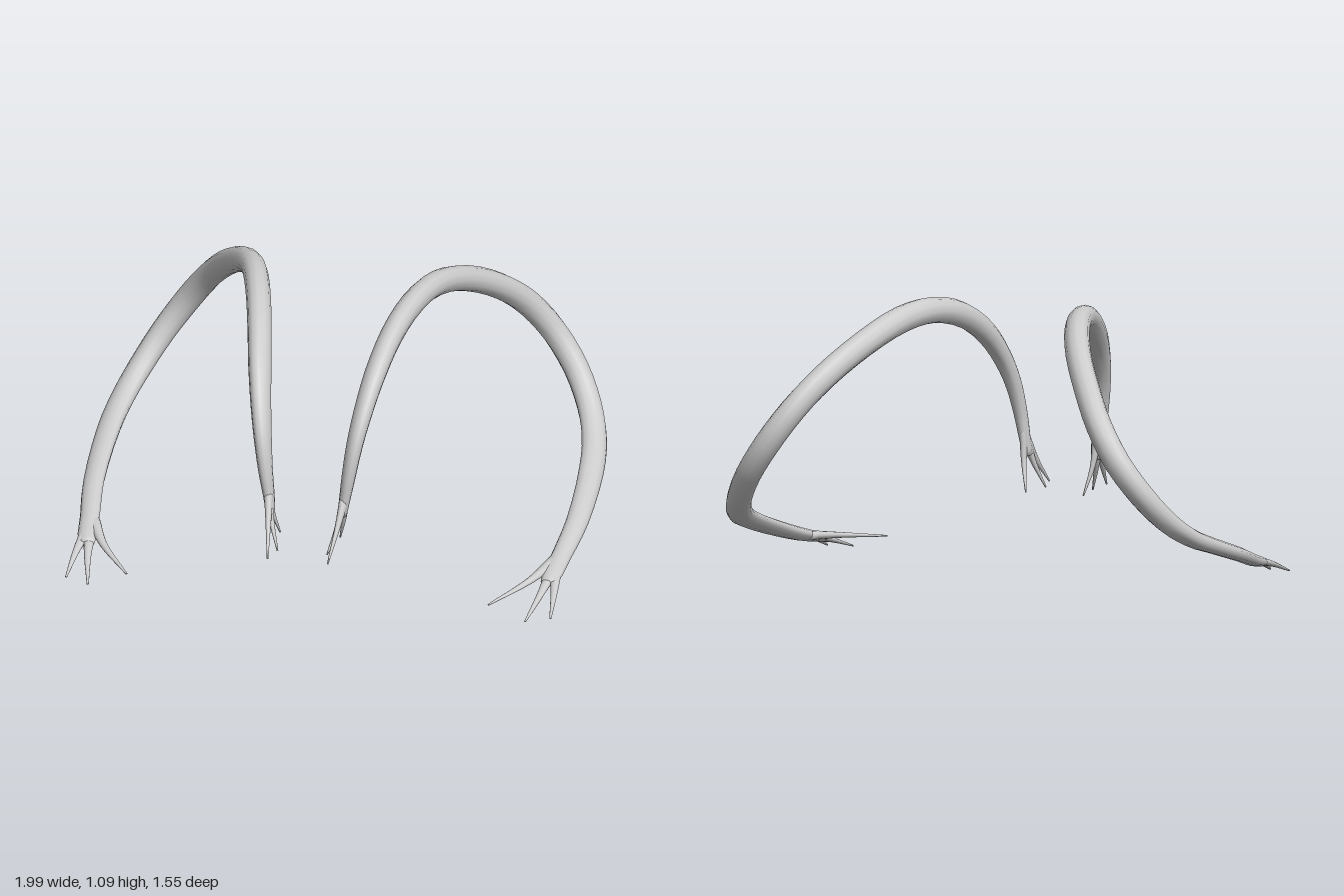
import * as THREE from 'three';

const SIDES = 12;

// Limb centre line from the raised wrist to the low wrist: x, y, z, wide radius, thin radius
const LIMB = [
  [0.14, 0.40, 0.60, 0.028, 0.018],
  [0.15, 0.47, 0.59, 0.032, 0.022],
  [0.163, 0.56, 0.582, 0.036, 0.027],
  [0.18, 0.68, 0.55, 0.046, 0.032],
  [0.20, 0.79, 0.485, 0.050, 0.037],
  [0.225, 0.90, 0.375, 0.053, 0.042],
  [0.26, 0.995, 0.20, 0.053, 0.045],
  [0.305, 1.04, 0.0, 0.052, 0.047],
  [0.36, 1.03, -0.20, 0.052, 0.048],
  [0.44, 0.96, -0.40, 0.051, 0.049],
  [0.54, 0.85, -0.57, 0.051, 0.050],
  [0.63, 0.73, -0.68, 0.051, 0.050],
  [0.72, 0.60, -0.722, 0.051, 0.050],
  [0.81, 0.47, -0.69, 0.050, 0.048],
  [0.88, 0.36, -0.60, 0.050, 0.043],
  [0.925, 0.285, -0.47, 0.050, 0.036],
  [0.947, 0.232, -0.30, 0.049, 0.031],
  [0.948, 0.155, 0.0, 0.043, 0.028],
  [0.925, 0.105, 0.20, 0.039, 0.025],
  [0.912, 0.082, 0.31, 0.040, 0.021],
  [0.905, 0.070, 0.37, 0.030, 0.016],
];

// Fingers: three centre points each (root, middle, tip) and the root radius
const RAISED_FINGERS = [
  ['raisedFrontFinger', [0.147, 0.46, 0.60], [0.135, 0.375, 0.672], [0.118, 0.275, 0.775], 0.024],
  ['raisedMiddleFinger', [0.145, 0.45, 0.597], [0.13, 0.37, 0.632], [0.097, 0.265, 0.68], 0.024],
  ['raisedThumb', [0.15, 0.50, 0.58], [0.142, 0.38, 0.56], [0.118, 0.265, 0.518], 0.023],
];
const LOW_FINGERS = [
  ['lowOuterFinger', [0.922, 0.085, 0.30], [0.938, 0.055, 0.42], [0.95, 0.012, 0.558], 0.023],
  ['lowMiddleFinger', [0.905, 0.08, 0.31], [0.888, 0.052, 0.44], [0.858, 0.008, 0.595], 0.024],
  ['lowThumb', [0.905, 0.098, 0.23], [0.835, 0.08, 0.39], [0.71, 0.057, 0.575], 0.026],
];

// Sweeps an elliptical section along a curve and closes both ends to a point
function sweep(points, steps, radii, wideAt) {
  const curve = new THREE.CatmullRomCurve3(points);
  const pos = [], index = [];
  const ring = (t, scale) => {
    const c = curve.getPoint(t), T = curve.getTangent(t);
    const W = wideAt(t, c);
    W.addScaledVector(T, -W.dot(T)).normalize();
    const B = new THREE.Vector3().crossVectors(T, W);
    const [a, b] = radii(t);
    for (let j = 0; j < SIDES; j++) {
      const k = (j / SIDES) * Math.PI * 2;
      const p = c.clone()
        .addScaledVector(W, Math.cos(k) * a * scale)
        .addScaledVector(B, Math.sin(k) * b * scale);
      pos.push(p.x, p.y, p.z);
    }
  };
  ring(0, 0.001);
  for (let i = 0; i <= steps; i++) ring(i / steps, 1);
  ring(1, 0.001);
  for (let i = 0; i < steps + 2; i++) {
    for (let j = 0; j < SIDES; j++) {
      const n = (j + 1) % SIDES;
      const a = i * SIDES + j, b = i * SIDES + n;
      index.push(a, b, a + SIDES, b, b + SIDES, a + SIDES);
    }
  }
  const geo = new THREE.BufferGeometry();
  geo.setAttribute('position', new THREE.Float32BufferAttribute(pos, 3));
  geo.setIndex(index);
  geo.computeVertexNormals();
  return geo;
}

function createLimb(side, material) {
  const group = new THREE.Group();
  const add = (name, geo) => {
    const mesh = new THREE.Mesh(geo, material);
    mesh.name = name;
    group.add(mesh);
  };
  const at = ([x, y, z]) => new THREE.Vector3(side * x, y, z);

  // Arched limb: its flat side turns a quarter from one hand to the other
  const limbRadii = (t) => {
    const f = t * (LIMB.length - 1);
    const i = Math.min(Math.floor(f), LIMB.length - 2);
    return [3, 4].map((k) => THREE.MathUtils.lerp(LIMB[i][k], LIMB[i + 1][k], f - i));
  };
  const limbWide = (t, c) => {
    const radial = new THREE.Vector3(0, c.y - 0.55, c.z).normalize();
    const turn = (t * Math.PI) / 2;
    return radial.multiplyScalar(Math.cos(turn)).add(new THREE.Vector3(side * Math.sin(turn), 0, 0));
  };
  add('limb', sweep(LIMB.map(at), 60, limbRadii, limbWide));

  // Tapering fingers
  for (const [name, root, middle, tip, r] of [...RAISED_FINGERS, ...LOW_FINGERS]) {
    const radii = (t) => {
      const k = r * (1 - t) + 0.004 * t;
      return [k, k * 0.75];
    };
    const low = name.startsWith('low');
    const wide = () => new THREE.Vector3(low ? 1 : 0, 0, low ? 0 : 1);
    add(name, sweep([root, middle, tip].map(at), 10, radii, wide));
  }
  return group;
}

export function createModel() {
  const model = new THREE.Group();
  model.name = 'archedLimbs';
  const grey = new THREE.MeshStandardMaterial({ color: 0xcccccc });
  grey.name = 'light grey';
  for (const side of [1, -1]) {
    const limb = createLimb(side, grey);
    limb.name = side > 0 ? 'leftLimb' : 'rightLimb';
    model.add(limb);
  }
  return model;
}
